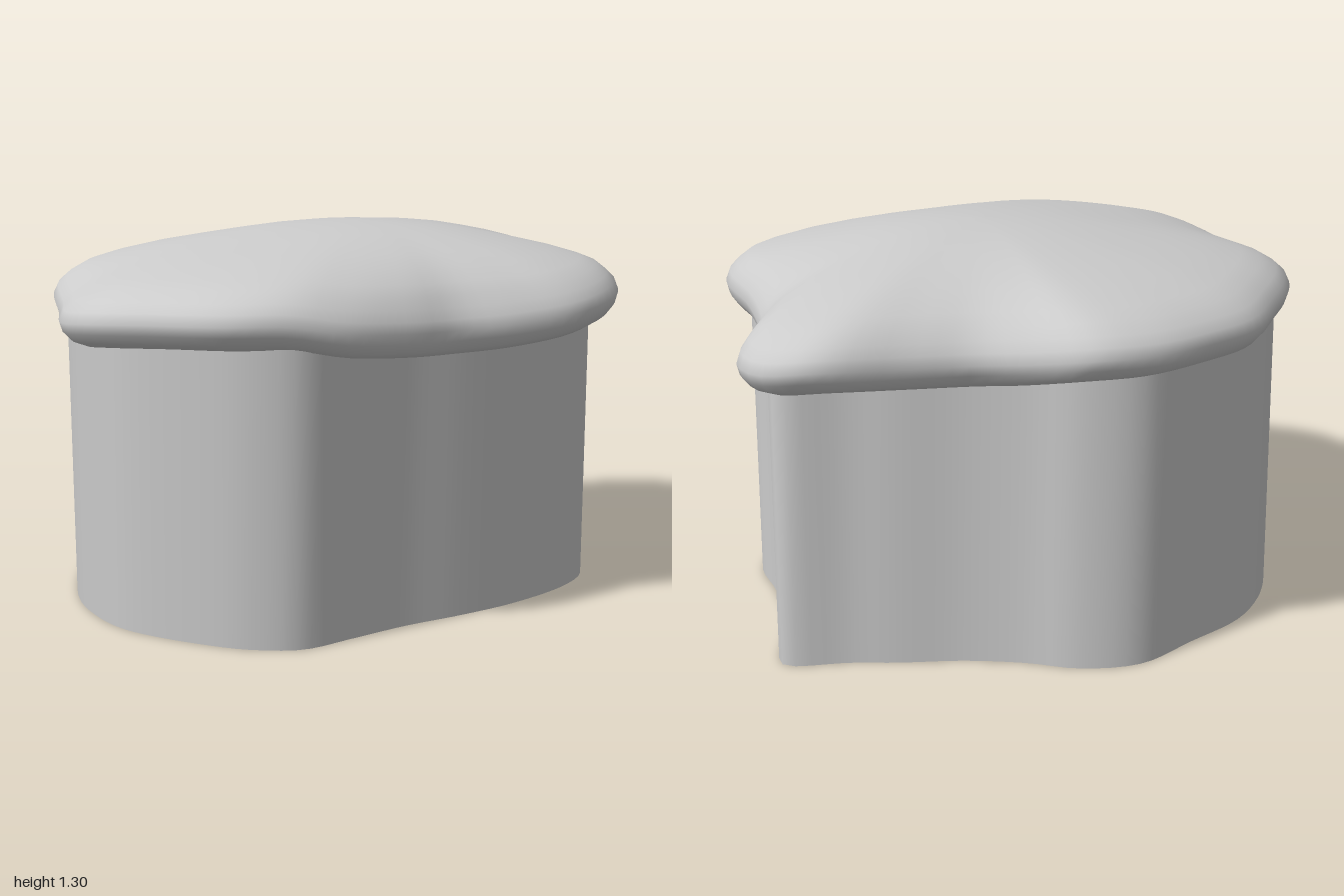
import * as THREE from 'three';

const material = new THREE.MeshStandardMaterial({ color: 0xcccccc, side: THREE.DoubleSide });
const SEGMENTS = 120;

// Evenly spaced points on a smooth closed loop.
function closedLoop(points) {
  const curve = new THREE.CatmullRomCurve3(points.map(p => new THREE.Vector3(...p)), true);
  return curve.getSpacedPoints(SEGMENTS).slice(0, SEGMENTS);
}

// Skin over rings of equal length; rings run from the top down.
function skin(name, rings) {
  const n = rings[0].length, positions = [], index = [];
  rings.forEach(ring => ring.forEach(p => positions.push(p.x, p.y, p.z)));
  for (let r = 0; r < rings.length - 1; r++) {
    for (let i = 0; i < n; i++) {
      const a = r * n + i, b = r * n + (i + 1) % n;
      index.push(a, b, a + n, b, b + n, a + n);
    }
  }
  const geometry = new THREE.BufferGeometry();
  geometry.setAttribute('position', new THREE.Float32BufferAttribute(positions, 3));
  geometry.setIndex(index);
  geometry.computeVertexNormals();
  const mesh = new THREE.Mesh(geometry, material);
  mesh.name = name;
  return mesh;
}

// Domed cap: the lobed outline (x, lip height, z) shrunk along a rounded profile.
function createCap() {
  const outline = closedLoop([
    [-0.4, 0.97, -0.95], [-0.2, 0.97, -0.995], [0, 0.94, -0.92], [0.16, 0.93, -0.885],
    [0.35, 0.935, -0.92], [0.65, 0.95, -1], [0.82, 0.93, -0.94], [0.89, 0.93, -0.83],
    [0.88, 0.93, -0.65], [0.85, 0.94, -0.48], [0.9, 0.97, -0.25], [0.985, 0.99, -0.05],
    [0.995, 0.99, 0.12], [0.95, 0.975, 0.3], [0.83, 0.95, 0.46], [0.62, 0.925, 0.57],
    [0.42, 0.915, 0.65], [0.27, 0.92, 0.77], [0.05, 0.94, 0.92], [-0.12, 0.97, 0.98],
    [-0.32, 0.97, 0.995], [-0.55, 0.965, 0.92], [-0.77, 0.95, 0.79], [-0.88, 0.93, 0.6],
    [-0.92, 0.935, 0.4], [-1, 0.97, 0.03], [-0.96, 0.98, -0.22], [-0.87, 0.98, -0.45],
    [-0.76, 0.97, -0.67], [-0.6, 0.97, -0.82],
  ]).reverse();
  // scale, height, share of the lip's rise and fall
  const profile = [
    [0, 1.3, 0], [0.12, 1.298, 0], [0.25, 1.29, 0], [0.38, 1.275, 0], [0.5, 1.255, 0.05],
    [0.62, 1.232, 0.12], [0.74, 1.205, 0.28], [0.85, 1.17, 0.55], [0.91, 1.143, 0.8],
    [0.955, 1.11, 0.9], [0.985, 1.08, 1], [1, 1.045, 1], [0.99, 1.01, 1],
    [0.965, 0.98, 1], [0.93, 0.962, 1], [0.88, 0.965, 1], [0.8, 0.98, 0.9],
    [0.65, 0.99, 0.6], [0.4, 1, 0.2], [0, 1, 0],
  ];
  const cx = 0.1, cz = -0.04, meanRadius = 0.95;
  return skin('domedCap', profile.map(([s, y, w]) => outline.map(p => {
    const dx = p.x - cx, dz = p.z - cz;
    // inner rings become rounder than the rim
    const k = s * THREE.MathUtils.lerp(meanRadius / Math.hypot(dx, dz), 1, Math.min(1, s * 1.05));
    return new THREE.Vector3(cx + dx * k, y + (p.y - 0.96) * w, cz + dz * k);
  })));
}

// Open-ended wall: an inset outline swept upward with a slight forward lean.
function createWall() {
  const outline = closedLoop([
    [-0.37, 0, -0.91], [-0.17, 0, -0.93], [0, 0, -0.88], [0.2, 0, -0.85], [0.42, 0, -0.85],
    [0.57, 0, -0.84], [0.77, 0, -0.85], [0.8, 0, -0.82], [0.79, 0, -0.52], [0.85, 0, -0.25],
    [0.91, 0, -0.04], [0.84, 0, 0.13], [0.64, 0, 0.35], [0.44, 0, 0.5], [0.25, 0, 0.62],
    [0.07, 0, 0.76], [-0.08, 0, 0.87], [-0.22, 0, 0.88], [-0.35, 0, 0.85], [-0.68, 0, 0.68],
    [-0.83, 0, 0.48], [-0.9, 0, 0.3], [-0.94, 0, 0], [-0.92, 0, -0.22], [-0.86, 0, -0.42],
    [-0.75, 0, -0.6], [-0.56, 0, -0.76],
  ]).reverse();
  return skin('wall', [1, 0].map(y => outline.map(p =>
    new THREE.Vector3(p.x, y, p.z + y * 0.04))));
}

export function createModel() {
  const model = new THREE.Group();
  model.name = 'cappedStump';
  model.add(createCap(), createWall());
  return model;
}
